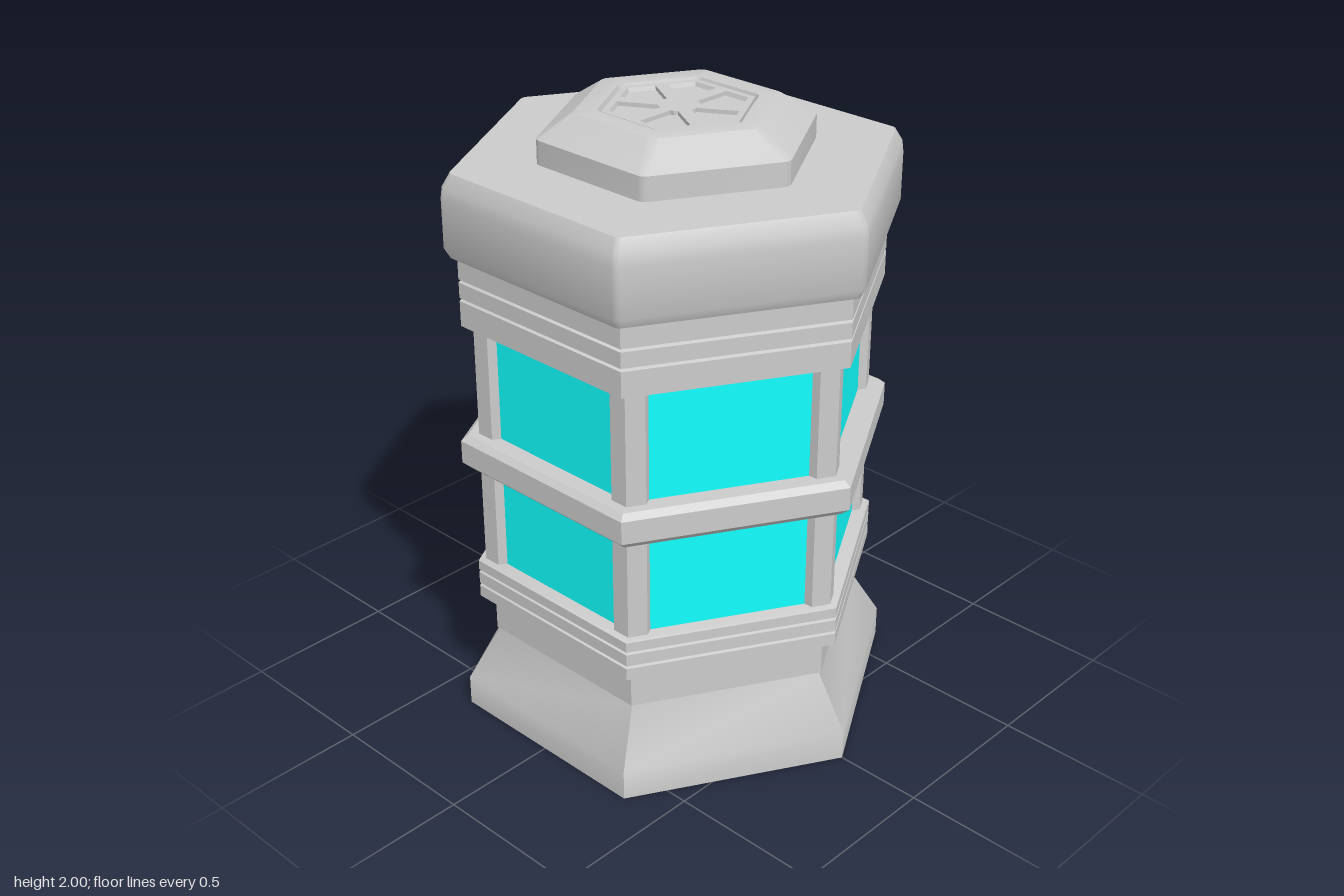
import * as THREE from 'three';
import { toCreasedNormals } from 'three/addons/utils/BufferGeometryUtils.js';

const grey = new THREE.MeshStandardMaterial({ color: 0xcccccc });
const cyan = new THREE.MeshStandardMaterial({ color: 0x11ffff });

// Hexagonal loft through [circumradius, y] pairs, with optional rounded corners
function hexLoft(profile, corner = 0) {
  const steps = corner ? 3 : 0, n = 6 * (steps + 1);
  const pos = [], index = [];
  profile.forEach(([r, y]) => {
    const c = Math.min(corner, r * 0.8);
    for (let k = 0; k < 6; k++) {
      const a = k * Math.PI / 3, m = r - c / Math.cos(Math.PI / 6);
      for (let s = 0; s <= steps; s++) {
        const b = steps ? a + (s / steps - 0.5) * Math.PI / 3 : a;
        const d = corner ? c : 0, q = corner ? m : r;
        pos.push(q * Math.cos(a) + d * Math.cos(b), y, q * Math.sin(a) + d * Math.sin(b));
      }
    }
  });
  for (let i = 0; i < profile.length - 1; i++) {
    for (let j = 0; j < n; j++) {
      const a = i * n + j, b = i * n + (j + 1) % n;
      if (profile[i][0] > 0) index.push(a, a + n, b);
      if (profile[i + 1][0] > 0) index.push(b, a + n, b + n);
    }
  }
  const g = new THREE.BufferGeometry();
  g.setAttribute('position', new THREE.Float32BufferAttribute(pos, 3));
  g.setIndex(index);
  return toCreasedNormals(g, 0.62);
}

// Stack of bevelled bands separated by narrow grooves
function bandProfile(r, levels) {
  const p = [[0, levels[0]]], e = 0.005;
  for (let i = 0; i < levels.length - 1; i++) {
    const y0 = levels[i], y1 = levels[i + 1];
    p.push([r - 0.012, y0], [r, y0 + e], [r, y1 - e], [r - 0.012, y1]);
  }
  p.push([0, levels[levels.length - 1]]);
  return p;
}

export function createModel() {
  const model = new THREE.Group();
  const add = (name, geometry, material = grey, parent = model) => {
    const mesh = new THREE.Mesh(geometry, material);
    mesh.name = name;
    parent.add(mesh);
    return mesh;
  };

  // Flared foot and neck
  add('base', hexLoft([[0, 0], [0.715, 0], [0.715, 0.1], [0.61, 0.27], [0.61, 0.41], [0, 0.41]]));
  add('neckCollar', hexLoft([[0.6, 0.272], [0.615, 0.28], [0.615, 0.39], [0.6, 0.4]]));
  add('lowerBands', hexLoft(bandProfile(0.664, [0.405, 0.455, 0.505, 0.548])));

  // Glass body with corner posts
  add('glass', hexLoft([[0.612, 0.53], [0.612, 1.38]]), cyan);
  const section = [[0.64, 0], [0.61, 0.052], [0.58, 0.053], [0.56, 0.04],
    [0.56, -0.04], [0.58, -0.053], [0.61, -0.052]];
  const postGeometry = new THREE.ExtrudeGeometry(
    new THREE.Shape(section.map(([x, y]) => new THREE.Vector2(x, y))),
    { depth: 0.84, bevelEnabled: false });
  postGeometry.rotateX(-Math.PI / 2).translate(0, 0.535, 0);
  const posts = new THREE.Group();
  posts.name = 'cornerPosts';
  model.add(posts);
  for (let k = 0; k < 6; k++) add('post', postGeometry, grey, posts).rotation.y = k * Math.PI / 3;

  add('middleRing', hexLoft([[0.55, 0.88], [0.665, 0.88], [0.697, 0.907],
    [0.697, 0.982], [0.675, 1.0], [0.55, 1.0]]));

  // Upper bands and cap
  add('upperBands', hexLoft(bandProfile(0.676, [1.365, 1.457, 1.517, 1.6])));
  add('cap', hexLoft([[0, 1.595], [0.7, 1.595], [0.717, 1.625], [0.717, 1.78],
    [0.712, 1.815], [0.687, 1.855], [0, 1.855]], 0.025));

  // Top knob with a recessed spoked vent
  add('knob', hexLoft([[0.432, 1.85], [0.432, 1.93], [0.32, 2.0], [0.248, 2.0],
    [0.24, 1.982], [0, 1.982]], 0.03));
  add('ventRim', hexLoft([[0.234, 1.98], [0.234, 1.995], [0.212, 1.995], [0.205, 1.98]]));
  add('ventHub', hexLoft([[0.065, 1.98], [0.065, 1.995], [0, 1.995]]));
  const vent = new THREE.Group();
  vent.name = 'ventSpokes';
  model.add(vent);
  for (let k = 0; k < 3; k++) {
    const spoke = add('spoke', new THREE.BoxGeometry(0.04, 0.016, 0.38), grey, vent);
    spoke.position.y = 1.987;
    spoke.rotation.y = k * Math.PI / 3;
  }
  return model;
}
